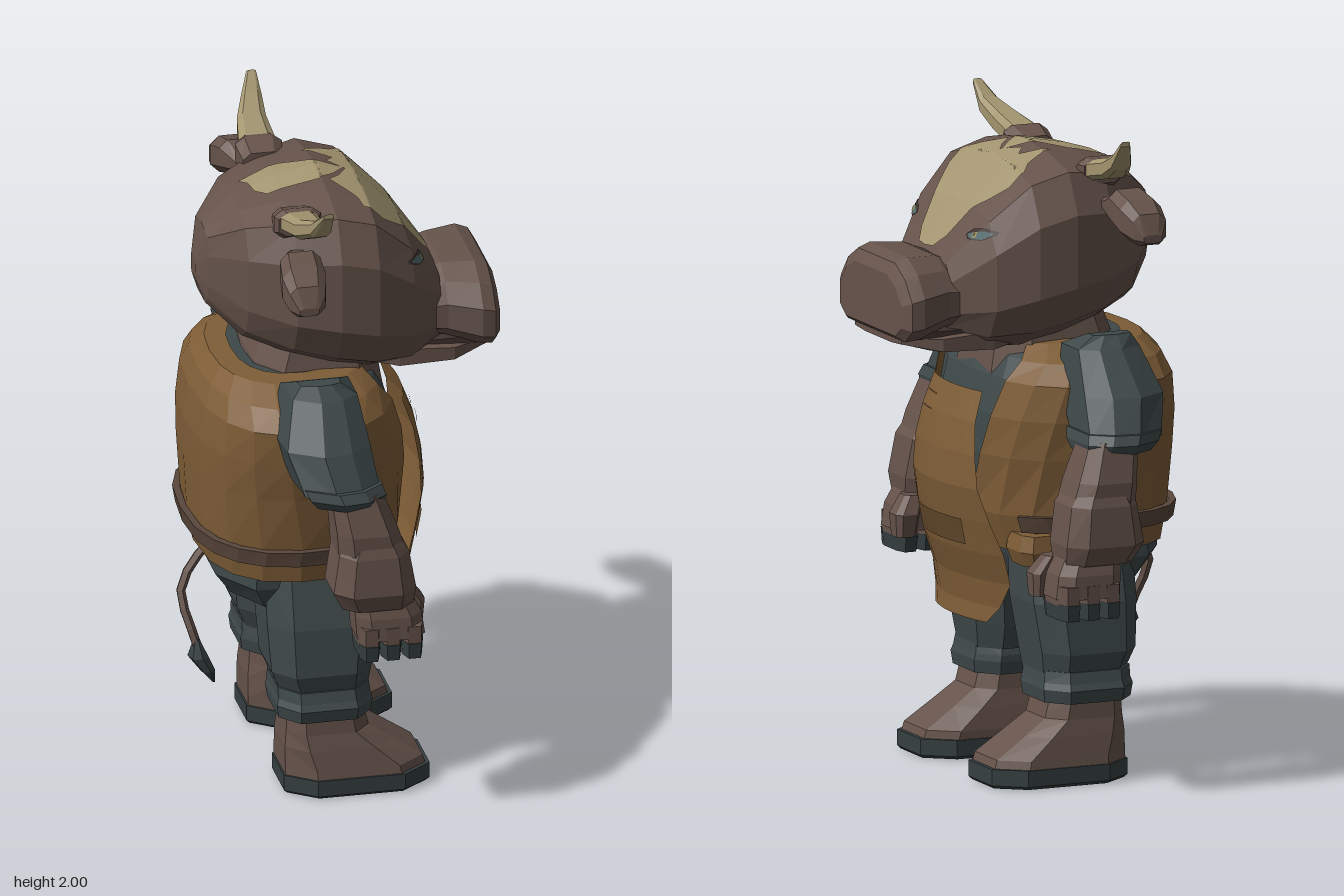
import * as THREE from 'three';

const mat = (name, color) => {
  const m = new THREE.MeshStandardMaterial({ color, side: THREE.DoubleSide, flatShading: true });
  m.name = name;
  return m;
};

// Cross-section outlines, in -1..1 on both axes
const BOXY = [[1, .55], [.6, 1], [-.6, 1], [-1, .55], [-1, -.55], [-.6, -1], [.6, -1], [1, -.55]];
const HEX = [[1, .4], [.3, 1], [-.7, .85], [-1, -.3], [-.4, -1], [.7, -.85]];
const SLEEVE = [[1, -1], [1, .45], [.5, .9], [-.15, 1], [-.9, .5], [-1, -1]];
const bothHalves = (half) => [...half, [-1, 0], ...half.slice(1).reverse().map(([a, b]) => [a, -b])];
const SKULL = bothHalves([[1, 0], [.95, .45], [.84, .82], [.4, 1], [-.4, 1], [-.8, .84], [-1, .55]]);
const MUZZLE = bothHalves([[1, 0], [1, .52], [.65, .8], [.1, 1], [-.65, 1], [-1, .8]]);

export function createModel() {
  const root = new THREE.Group();
  const fur = mat('brown fur', 0x66534b), teal = mat('slate cloth', 0x3f494a);
  const leather = mat('tan leather', 0x7e5d37), horn = mat('horn cream', 0xa39570);
  const dark = mat('dark slate', 0x363f41), belt = mat('belt brown', 0x59473c);
  const seam = mat('dark brown', 0x3f332f), eyeBlue = mat('eye blue', 0x506a6d);
  const eyeGold = mat('eye gold', 0xa39653), pocketBrown = mat('pocket brown', 0x654a2d);

  const add = (name, geo, material) => {
    const mesh = new THREE.Mesh(geo, material);
    mesh.name = name;
    root.add(mesh);
    return mesh;
  };
  const surface = (pos, index) => {
    const g = new THREE.BufferGeometry();
    g.setAttribute('position', new THREE.Float32BufferAttribute(pos, 3));
    g.setIndex(index);
    const flat = g.toNonIndexed();
    flat.computeVertexNormals();
    return flat;
  };
  // Open grid of points: rows of equal length
  const grid = (rows) => {
    const n = rows[0].length, index = [];
    for (let i = 0; i < rows.length - 1; i++) for (let j = 0; j < n - 1; j++) {
      const a = i * n + j, b = a + n;
      index.push(a, b, a + 1, a + 1, b, b + 1);
    }
    return surface(rows.flat(2), index);
  };
  // Capped loft; each section is [t, aMin, aMax, bMin, bMax] with the other axes in xyz order
  const loft = (name, material, axis, outline, sections) => {
    const n = outline.length, pts = [], index = [];
    const place = (t, a, b) => axis === 'x' ? [t, a, b] : axis === 'y' ? [a, t, b] : [a, b, t];
    for (const [t, a0, a1, b0, b1] of sections) for (const [u, v] of outline)
      pts.push(place(t, (a0 + a1) / 2 + u * (a1 - a0) / 2, (b0 + b1) / 2 + v * (b1 - b0) / 2));
    for (let i = 0; i < sections.length - 1; i++) for (let j = 0; j < n; j++) {
      const a = i * n + j, b = i * n + (j + 1) % n;
      index.push(a, b, a + n, b, b + n, a + n);
    }
    const last = (sections.length - 1) * n;
    for (let j = 1; j < n - 1; j++) index.push(0, j + 1, j, last, last + j, last + j + 1);
    // Turn the faces outward, judged by signed volume
    let volume = 0;
    const [p, q, r] = [0, 0, 0].map(() => new THREE.Vector3());
    for (let i = 0; i < index.length; i += 3) {
      p.fromArray(pts[index[i]]); q.fromArray(pts[index[i + 1]]); r.fromArray(pts[index[i + 2]]);
      volume += p.dot(q.cross(r));
    }
    if (volume < 0) index.reverse();
    return add(name, surface(pts.flat(), index), material);
  };
  // Thin painted patch laid on a mesh; rows are [z, min, max] in x (from above) or y (from ahead)
  const drape = (name, material, target, from, rows, lift = .0075) => {
    target.updateMatrixWorld();
    const ray = new THREE.Raycaster(), out = [];
    let previous = [0, 1.6, 0];
    for (let i = 0; i < rows.length - 1; i++) for (let k = i ? 1 : 0; k <= 6; k++) {
      const [z, lo, hi] = rows[i].map((v, c) => THREE.MathUtils.lerp(v, rows[i + 1][c], k / 6));
      const line = [];
      for (let j = 0; j <= 32; j++) {
        const b = lo + (hi - lo) * j / 32, above = from === 'above';
        ray.set(above ? new THREE.Vector3(b, 3, z) : new THREE.Vector3(3, b, z),
          above ? new THREE.Vector3(0, -1, 0) : new THREE.Vector3(-1, 0, 0));
        const hit = ray.intersectObject(target)[0];
        if (hit) previous = hit.point.addScaledVector(ray.ray.direction, -lift).toArray();
        line.push(previous);
      }
      out.push(line);
    }
    return add(name, grid(out), material);
  };

  // Head, muzzle and jaw, facing +x
  const head = loft('head', fur, 'x', SKULL, [
    [-.42, 1.59, 1.66, -.03, .03], [-.395, 1.52, 1.765, -.1, .1], [-.3, 1.435, 1.85, -.235, .235],
    [-.17, 1.39, 1.89, -.335, .335], [-.04, 1.355, 1.915, -.37, .37], [.08, 1.33, 1.88, -.36, .36],
    [.2, 1.33, 1.76, -.305, .305], [.305, 1.37, 1.61, -.2, .2]]);
  loft('muzzle', fur, 'x', MUZZLE, [[.2, 1.42, 1.57, -.21, .21], [.32, 1.4, 1.61, -.225, .225],
    [.42, 1.375, 1.615, -.265, .265], [.46, 1.37, 1.6, -.26, .26], [.48, 1.385, 1.565, -.225, .225]]);
  loft('mouth', seam, 'x', BOXY, [[.25, 1.36, 1.4, -.2, .2], [.44, 1.365, 1.4, -.2, .2]]);
  loft('lowerJaw', fur, 'x', BOXY, [[.02, 1.335, 1.42, -.18, .18], [.17, 1.31, 1.4, -.225, .225],
    [.34, 1.32, 1.385, -.225, .225], [.455, 1.35, 1.38, -.17, .17]]);
  drape('foreheadBlaze', horn, head, 'above', [[-.22, .07, .12], [-.18, .04, .165], [-.13, -.06, .21],
    [-.09, .03, .27], [-.05, 0, .297], [0, .05, .302], [.05, .02, .297], [.09, -.02, .27], [.14, .02, .205],
    [.18, .05, .165], [.22, .06, .12]]);
  drape('crownPatch', horn, head, 'above',
    [[-.08, -.17, -.14], [-.05, -.27, -.07], [-.01, -.25, .05], [.05, -.24, 0], [.09, -.21, -.05]]);

  // Neck and torso
  loft('neck', fur, 'y', BOXY, [[1.22, -.28, .14, -.23, .23], [1.34, -.26, .12, -.22, .22], [1.45, -.22, .12, -.2, .2]]);
  const torso = [[.71, -.42, .17, .375], [.82, -.44, .2, .395], [1, -.45, .21, .42],
    [1.12, -.45, .2, .44], [1.23, -.435, .17, .45], [1.29, -.41, .135, .39], [1.335, -.37, .09, .3]];
  const P = .8, pow = (v) => Math.sign(v) * Math.abs(v) ** P;
  const girth = (y) => {
    let i = 0;
    while (i < torso.length - 2 && torso[i + 1][0] < y) i++;
    const t = (y - torso[i][0]) / (torso[i + 1][0] - torso[i][0]);
    return torso[i].map((v, c) => THREE.MathUtils.lerp(v, torso[i + 1][c], t));
  };
  // Row round the body, open at the chest between z = -edge and z = edge
  const wrap = (y, off, edge, n = 16) => {
    const [, x0, x1, rz] = girth(y), start = Math.asin(Math.min(1, edge / rz) ** (1 / P));
    return Array.from({ length: n + 1 }, (_, j) => {
      const a = start + (2 * Math.PI - 2 * start) * j / n;
      return [(x0 + x1) / 2 + ((x1 - x0) / 2 + off) * pow(Math.cos(a)), y, (rz + off) * pow(Math.sin(a))];
    });
  };
  add('shirt', grid([...torso.map(([y]) => wrap(y, -.02, 0)), wrap(1.335, -.1, 0)]), teal);
  const vestEdges = [.1, .1, .17, .21, .24, .25, .2];
  add('vest', grid([...torso.map(([y], i) => wrap(y, 0, vestEdges[i])), wrap(1.34, -.06, .18)]), leather);
  add('belt', grid([[.775, 0], [.775, .022], [.825, .022], [.825, 0]].map(([y, o]) => wrap(y, o, .3))), belt);

  // Apron: rows of [y, x, half width], bowed round the belly
  const apron = add('apron', grid([[1.19, .215, .175], [1.1, .25, .19], [1, .272, .215], [.9, .28, .235],
    [.8, .265, .265], [.7, .245, .295], [.61, .215, .285], [.53, .205, .235], [.48, .21, .185]].map(([y, x, w]) =>
    Array.from({ length: 9 }, (_, j) => {
      const z = w * (j / 4 - 1);
      return [x - z * z * .85, y, z];
    }))), leather);
  drape('apronPocket', pocketBrown, apron, 'ahead', [[-.155, .72, .8], [0, .72, .8], [.155, .72, .8]]);
  for (const y of [1.1, 1.145])
    drape('bibStitch', pocketBrown, apron, 'ahead', [[.05, y, y + .004], [.14, y, y + .004]]);

  // Hips and tail
  loft('hips', teal, 'y', BOXY, [[.6, -.34, .05, -.29, .29], [.67, -.39, .08, -.32, .32], [.74, -.39, .1, -.32, .32]]);
  const tailPath = new THREE.CatmullRomCurve3([[-.37, .72, .03], [-.44, .65, .05], [-.475, .57, .07],
    [-.455, .48, .11], [-.435, .41, .13]].map((p) => new THREE.Vector3(...p)));
  add('tail', new THREE.TubeGeometry(tailPath, 6, .015, 5), fur);
  loft('tailTuft', dark, 'y', HEX, [[.44, -.445, -.43, .115, .135], [.385, -.465, -.405, .1, .165],
    [.34, -.43, -.385, .115, .165], [.3, -.393, -.385, .14, .15]]);

  for (const s of [1, -1]) {
    const side = s < 0 ? 'left' : 'right';
    // Sections whose z values mirror with the side
    const limb = (name, m, outline, rows) =>
      loft(side + name, m, 'y', outline, rows.map(([y, a, b, c, d]) => [y, a, b, s * c, s * d]));
    const across = (name, m, rows) =>
      loft(side + name, m, 'z', BOXY, rows.map(([z, ...r]) => [s * z, ...r]));

    // Horn, ear and eye
    across('HornBase', fur, [[.2, -.22, -.1, 1.79, 1.88], [.27, -.23, -.085, 1.81, 1.905], [.295, -.22, -.095, 1.825, 1.9]]);
    across('Horn', horn, [[.26, -.22, -.1, 1.83, 1.895], [.4, -.195, -.105, 1.86, 1.925],
      [.48, -.165, -.1, 1.9, 1.955], [.54, -.135, -.105, 1.985, 2]]);
    across('Ear', fur, [[.31, -.2, -.14, 1.745, 1.785], [.36, -.21, -.13, 1.745, 1.795],
      [.42, -.245, -.12, 1.72, 1.83], [.5, -.255, -.12, 1.69, 1.81], [.56, -.245, -.135, 1.68, 1.775],
      [.587, -.22, -.16, 1.69, 1.715]]);
    const patch = (name, m, rows, lift) =>
      drape(side + name, m, head, 'ahead', rows.map(([z, a, b]) => [s * z, a, b]), lift);
    patch('EyeLid', seam, [[.18, 1.68, 1.684], [.2, 1.67, 1.7], [.25, 1.67, 1.708], [.285, 1.69, 1.7]], .004);
    patch('Eye', eyeBlue, [[.19, 1.68, 1.684], [.21, 1.674, 1.692], [.25, 1.674, 1.7], [.275, 1.69, 1.695]], .006);
    patch('Iris', eyeGold, [[.215, 1.679, 1.695], [.231, 1.679, 1.697]], .008);
    patch('Pupil', seam, [[.221, 1.683, 1.693], [.228, 1.683, 1.693]], .0095);

    // Pouch hanging at the front of the vest hem
    limb('HemPouch', leather, BOXY, [[.675, .02, .125, .22, .37], [.72, .02, .14, .2, .385], [.77, .02, .13, .2, .375]]);

    // Sleeve and arm
    limb('Sleeve', teal, SLEEVE, [[1.39, -.19, -.06, .4, .45], [1.35, -.22, -.01, .31, .49], [1.22, -.26, .01, .35, .6],
      [1.1, -.22, .025, .46, .66]]);
    limb('SleeveCuff', teal, SLEEVE, [[1.12, -.22, .03, .44, .665], [1.09, -.205, .04, .46, .68], [1.06, -.18, .035, .48, .66]]);
    limb('Forearm', fur, BOXY, [[1.1, -.13, .03, .48, .65], [.98, -.115, .075, .46, .685], [.9, -.11, .1, .465, .685]]);
    limb('Bracer', fur, BOXY, [[.955, -.08, .075, .48, .68], [.91, -.11, .105, .465, .695], [.79, -.13, .125, .475, .705],
      [.73, -.1, .12, .5, .675]]);
    limb('Hand', fur, BOXY, [[.75, -.06, .12, .515, .66], [.7, -.06, .145, .505, .675], [.63, -.055, .155, .505, .68]]);
    limb('Thumb', fur, BOXY, [[.745, .08, .14, .48, .55], [.69, .1, .18, .455, .545], [.62, .11, .175, .465, .535]]);
    for (let i = 0; i < 3; i++) {
      const x = -.05 + i * .066;
      limb('Finger', fur, BOXY, [[.67, x, x + .066, .505, .68], [.61, x, x + .066, .505, .68]]);
      limb('FingerHoof', dark, BOXY, [[.615, x, x + .066, .5, .685], [.565, x + .003, x + .063, .51, .68]]);
    }

    // Leg, cuff and boot
    limb('Leg', teal, BOXY, [[.72, -.26, .08, .05, .34], [.55, -.26, .08, .06, .385], [.4, -.25, .06, .08, .4],
      [.33, -.22, .05, .1, .38]]);
    limb('TrouserCuff', teal, BOXY, [[.345, -.23, .05, .11, .39], [.31, -.23, .055, .1, .4], [.29, -.235, .06, .1, .41],
      [.25, -.23, .055, .11, .4]]);
    limb('Boot', fur, BOXY, [[.28, -.2, .03, .135, .38], [.2, -.205, .05, .13, .385], [.15, -.21, .12, .12, .395],
      [.085, -.21, .215, .11, .405], [.05, -.21, .225, .11, .41]]);
    limb('Sole', dark, BOXY, [[.06, -.215, .235, .105, .415], [.01, -.215, .235, .105, .415], [0, -.205, .225, .115, .405]]);
  }
  return root;
}
